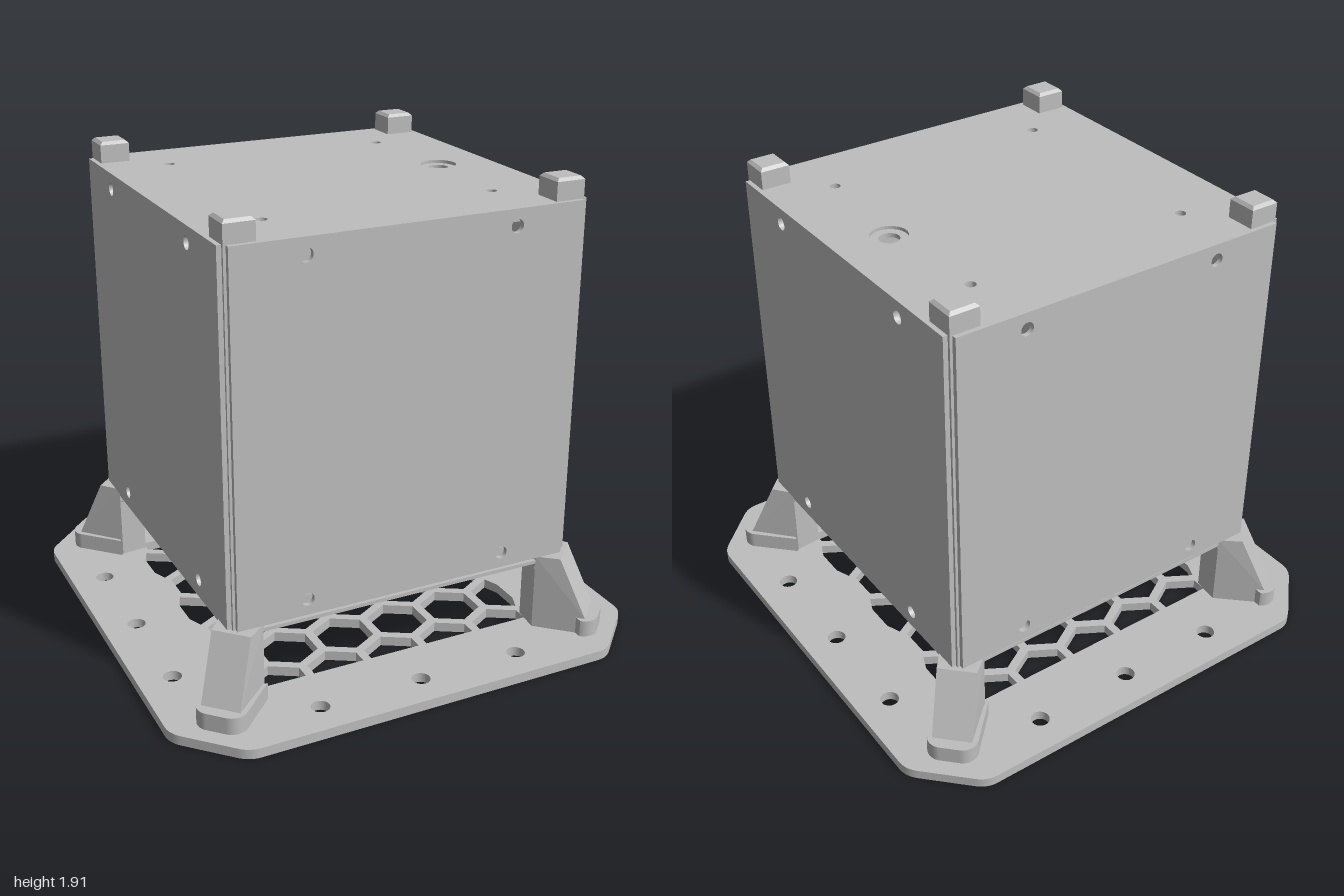
import * as THREE from 'three';
import { ConvexGeometry } from 'three/addons/geometries/ConvexGeometry.js';

const grey = new THREE.MeshStandardMaterial({ color: 0xbebebe });
grey.name = 'plain grey';

const add = (parent, name, geometry) => {
  const m = new THREE.Mesh(geometry, grey);
  m.name = name;
  parent.add(m);
  return m;
};

const box = (x0, x1, y0, y1, z0, z1) =>
  new THREE.BoxGeometry(x1 - x0, y1 - y0, z1 - z0)
    .translate((x0 + x1) / 2, (y0 + y1) / 2, (z0 + z1) / 2);

const circle = (x, y, r) => new THREE.Path().absarc(x, y, r, 0, Math.PI * 2, true);

const polygon = (pts) => new THREE.Shape(pts.map(([x, y]) => new THREE.Vector2(x, y)));

// horizontal plate from a plan outline, lying between y0 and y1
const plate = (shape, y0, y1) =>
  new THREE.ExtrudeGeometry(shape, { depth: y1 - y0, bevelEnabled: false, curveSegments: 20 })
    .rotateX(-Math.PI / 2).translate(0, y0, 0);

// square with notched corners that clears the rails
const notchedSquare = (a, b) => polygon([
  [a, -b], [a, b], [b, b], [b, a], [-b, a], [-b, b],
  [-a, b], [-a, -b], [-b, -b], [-b, -a], [b, -a], [b, -b],
]);

// base with cut, softened corners, bolt holes and a honeycomb grille
function baseGeometry() {
  const s = new THREE.Shape();
  for (let i = 0; i < 4; i++) {
    const c = Math.round(Math.cos(i * Math.PI / 2)), d = Math.round(Math.sin(i * Math.PI / 2));
    const p = (x, y) => [x * c - y * d, x * d + y * c];
    if (i === 0) s.moveTo(...p(1, -0.73));
    s.lineTo(...p(1, 0.73));
    s.quadraticCurveTo(...p(1, 0.775), ...p(0.965, 0.81));
    s.lineTo(...p(0.81, 0.965));
    s.quadraticCurveTo(...p(0.775, 1), ...p(0.73, 1));
  }
  for (const t of [-0.43, 0, 0.43]) {
    for (const e of [-0.86, 0.86]) s.holes.push(circle(t, e, 0.037), circle(e, t, 0.037));
  }
  const pitch = 0.25, limit = 0.65, r = (pitch / 2 - 0.018) / Math.cos(Math.PI / 6);
  const clamp = (v) => Math.max(-limit, Math.min(limit, v));
  for (let row = -3; row <= 3; row++) {
    for (let col = -3; col <= 3; col++) {
      const x = (col + (row % 2 === 0 ? 0.5 : 0)) * pitch, y = row * pitch * 0.866;
      if (Math.abs(x) > limit - 0.02 || Math.abs(y) > limit + 0.01) continue;
      const hex = [];
      for (let k = 0; k < 6; k++) {
        const a = Math.PI / 6 - k * Math.PI / 3;
        hex.push(new THREE.Vector2(clamp(x + r * Math.cos(a)), clamp(y + r * Math.sin(a))));
      }
      s.holes.push(new THREE.Path(hex));
    }
  }
  return plate(s, 0, 0.04);
}

// side panel with four screw holes
function panelGeometry() {
  const s = polygon([[-0.705, 0.365], [0.705, 0.365], [0.705, 1.825], [-0.705, 1.825]]);
  for (const x of [-0.42, 0.42]) for (const y of [0.43, 1.76]) s.holes.push(circle(x, y, 0.026));
  return new THREE.ExtrudeGeometry(s, { depth: 0.02, bevelEnabled: false, curveSegments: 16 })
    .translate(0, 0, 0.715);
}

// top or bottom sheet with small screw holes and one port
function sheet(y0, y1, port) {
  const s = notchedSquare(0.72, 0.597);
  for (const x of [-0.47, 0.47]) for (const y of [-0.47, 0.47]) s.holes.push(circle(x, y, 0.021));
  s.holes.push(circle(0.51, 0, port));
  return plate(s, y0, y1);
}

// leg: tapers outward along the diagonal below a rail
function legGeometry() {
  const q = Math.SQRT1_2, pts = [];
  const diag = (u, v, y) => pts.push(new THREE.Vector3((u + v) * q, y, (u - v) * q));
  for (const y of [0.03, 0.362]) {
    for (const [x, z] of [[0.61, 0.61], [0.597, 0.72], [0.72, 0.597]]) pts.push(new THREE.Vector3(x, y, z));
  }
  for (const v of [-0.078, 0.078]) {
    diag(1.03, v, 0.362);
    diag(1.145, v, 0.11);
    diag(1.145, v, 0.03);
  }
  return new ConvexGeometry(pts);
}

// rounded foot pad, running outward along +x before it is turned to the diagonal
function footGeometry() {
  const s = new THREE.Shape();
  s.moveTo(0.93, -0.1);
  s.absarc(1.13, -0.04, 0.06, -Math.PI / 2, 0, false);
  s.absarc(1.13, 0.04, 0.06, 0, Math.PI / 2, false);
  s.lineTo(0.93, 0.1);
  return plate(s, 0.03, 0.11).rotateY(-Math.PI / 4);
}

// square rail with a small bevel at both ends
function railGeometry() {
  const h = 0.048, b = 0.012;
  return new THREE.ExtrudeGeometry(polygon([[-h, -h], [h, -h], [h, h], [-h, h]]),
    { depth: 1.62 - 2 * b, bevelEnabled: true, bevelSize: b, bevelThickness: b, bevelSegments: 1 })
    .rotateX(-Math.PI / 2).translate(0.656, 0.29 + b, 0.656);
}

export function createModel() {
  const model = new THREE.Group();
  model.name = 'cubeOnStand';

  add(model, 'basePlate', baseGeometry());
  add(model, 'topSheet', sheet(1.812, 1.825, 0.072));
  add(model, 'topPortFloor', sheet(1.795, 1.812, 0.04));
  add(model, 'bottomSheet', sheet(0.33, 0.345, 0.04));

  // four identical sides and corners
  const panel = panelGeometry(), leg = legGeometry(), foot = footGeometry(), rail = railGeometry();
  const lowerBar = box(-0.6, 0.6, 0.367, 0.43, 0.64, 0.7);
  const upperBar = box(-0.6, 0.6, 1.765, 1.795, 0.64, 0.7);
  for (let i = 0; i < 4; i++) {
    const side = new THREE.Group();
    side.name = 'side' + (i + 1);
    side.rotation.y = i * Math.PI / 2;
    add(side, 'sidePanel', panel);
    add(side, 'cornerRail', rail);
    add(side, 'lowerFrameBar', lowerBar);
    add(side, 'upperFrameBar', upperBar);
    add(side, 'leg', leg);
    add(side, 'footPad', foot);
    model.add(side);
  }
  return model;
}
